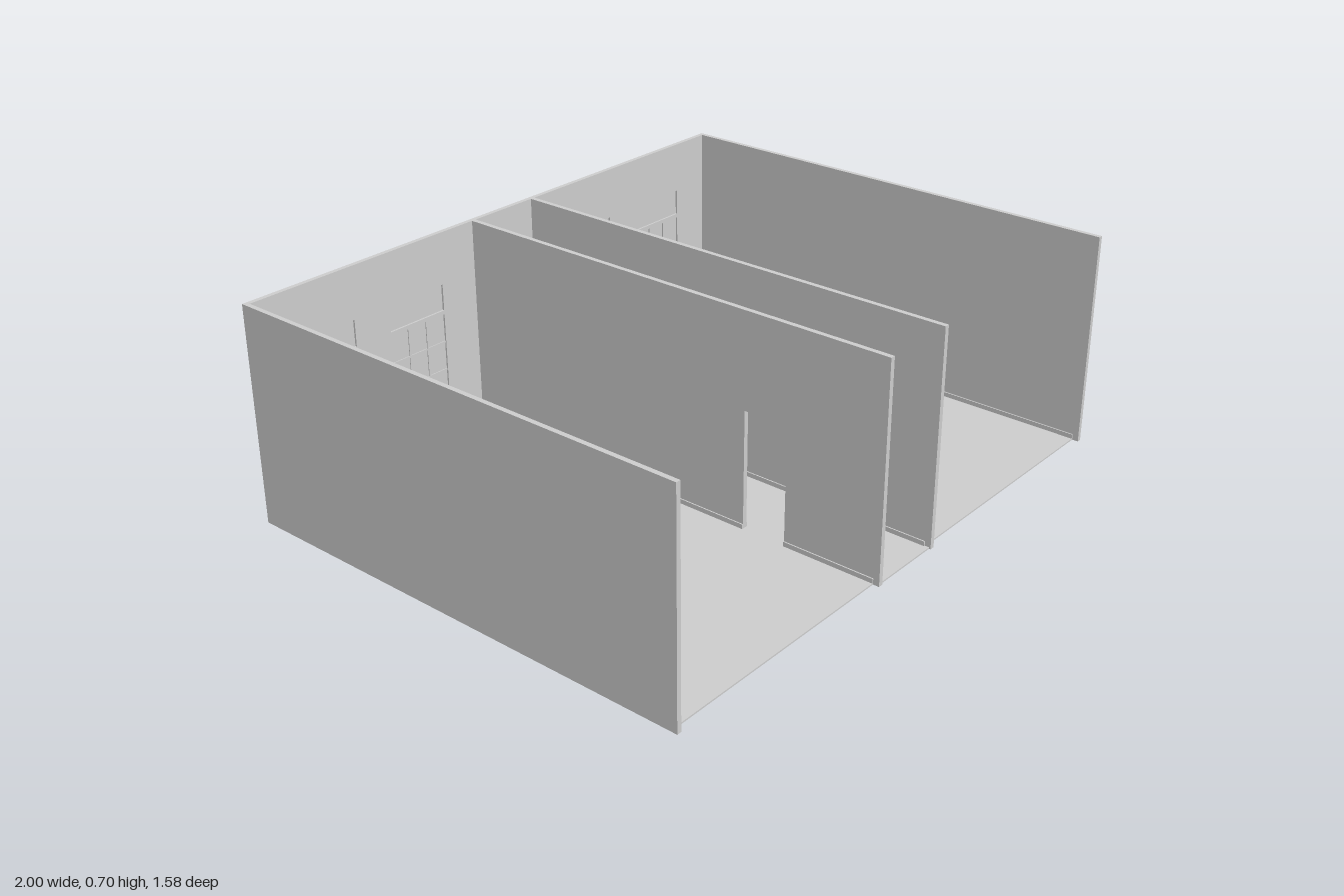
import * as THREE from 'three';

const H = 0.7, BACK = -0.79, FRONT = 0.79, T = 0.015;
const FLOOR = 0.005;
const DOOR = { z0: 0.31, z1: 0.46, top: 0.39 };
const INNER = [0.122, 0.138];          // corridor wall faces
const BACK_IN = BACK + T;              // inside face of the back wall

export function createModel() {
  const model = new THREE.Group();
  const material = new THREE.MeshStandardMaterial({ color: 0xcccccc });

  const add = (name, geometry, parent = model) => {
    const mesh = new THREE.Mesh(geometry, material);
    mesh.name = name;
    parent.add(mesh);
    return mesh;
  };
  // box given by its lower and upper corners
  const box = (name, x0, x1, y0, y1, z0, z1, parent) => {
    const g = new THREE.BoxGeometry(Math.abs(x1 - x0), y1 - y0, z1 - z0);
    g.translate((x0 + x1) / 2, (y0 + y1) / 2, (z0 + z1) / 2);
    return add(name, g, parent);
  };
  const rectPath = (x0, x1, y0, y1) => new THREE.Path([
    new THREE.Vector2(x0, y0), new THREE.Vector2(x0, y1),
    new THREE.Vector2(x1, y1), new THREE.Vector2(x1, y0),
  ]);

  // floors: the corridor slab reaches a little further forward than the rooms
  box('corridorFloor', -INNER[0], INNER[0], 0, FLOOR, BACK_IN, 0.785);
  for (const s of [-1, 1]) {
    box('roomFloor', s * INNER[1], s * (1 - T), 0, FLOOR, BACK_IN, 0.77);
  }

  // back wall with four window openings
  const wall = new THREE.Shape([
    new THREE.Vector2(-1, 0), new THREE.Vector2(1, 0),
    new THREE.Vector2(1, H), new THREE.Vector2(-1, H),
  ]);
  const W = 0.218, SILL = 0.145, HEAD = 0.43, TRANSOM = [0.443, 0.53];
  const centres = [-0.737, -0.385, 0.385, 0.737];
  for (const c of centres) {
    wall.holes.push(rectPath(c - W / 2, c + W / 2, SILL, HEAD));
    wall.holes.push(rectPath(c - W / 2, c + W / 2, ...TRANSOM));
  }
  const backGeometry = new THREE.ExtrudeGeometry(wall, { depth: T, bevelEnabled: false });
  backGeometry.translate(0, 0, BACK);
  add('backWall', backGeometry);

  // windows: recessed panes, three by three glazing bars, transom light above
  const mid = BACK + T / 2;
  for (const c of centres) {
    const win = new THREE.Group();
    win.name = 'window';
    model.add(win);
    const x0 = c - W / 2, x1 = c + W / 2;
    box('pane', x0, x1, SILL, HEAD, mid - 0.002, mid + 0.002, win);
    box('transomPane', x0, x1, ...TRANSOM, mid - 0.001, mid + 0.001, win);
    for (const i of [1, 2]) {
      const x = x0 + (W * i) / 3, y = SILL + ((HEAD - SILL) * i) / 3;
      box('uprightBar', x - 0.003, x + 0.003, SILL, HEAD, mid - 0.005, mid + 0.005, win);
      box('crossBar', x0, x1, y - 0.003, y + 0.003, mid - 0.005, mid + 0.005, win);
    }
  }

  // side walls, corridor walls with a doorway, and skirting
  const SK = 0.02, D = 0.004;
  for (const s of [-1, 1]) {
    box('sideWall', s * (1 - T), s, 0, H, BACK_IN, FRONT);

    const profile = new THREE.Shape([
      [BACK_IN, 0], [DOOR.z0, 0], [DOOR.z0, DOOR.top], [DOOR.z1, DOOR.top],
      [DOOR.z1, 0], [FRONT, 0], [FRONT, H], [BACK_IN, H],
    ].map(([z, y]) => new THREE.Vector2(z, y)));
    const g = new THREE.ExtrudeGeometry(profile, { depth: INNER[1] - INNER[0], bevelEnabled: false });
    g.rotateY(-Math.PI / 2);
    g.translate(s > 0 ? INNER[1] : -INNER[0], 0, 0);
    add('corridorWall', g);
    box('doorSill', s * INNER[0], s * INNER[1], 0, FLOOR, DOOR.z0, DOOR.z1);

    box('sideSkirting', s * (1 - T - D), s * (1 - T), FLOOR, SK, BACK_IN, 0.77);
    box('backSkirting', s * INNER[1], s * (1 - T), FLOOR, SK, BACK_IN, BACK_IN + D);
    for (const [z0, z1] of [[BACK_IN, DOOR.z0], [DOOR.z1, 0.77]]) {
      box('roomSkirting', s * INNER[1], s * (INNER[1] + D), FLOOR, SK, z0, z1);
      box('corridorSkirting', s * (INNER[0] - D), s * INNER[0], FLOOR, SK, z0, z1);
    }
  }
  box('corridorBackSkirting', -INNER[0], INNER[0], FLOOR, SK, BACK_IN, BACK_IN + D);

  return model;
}
